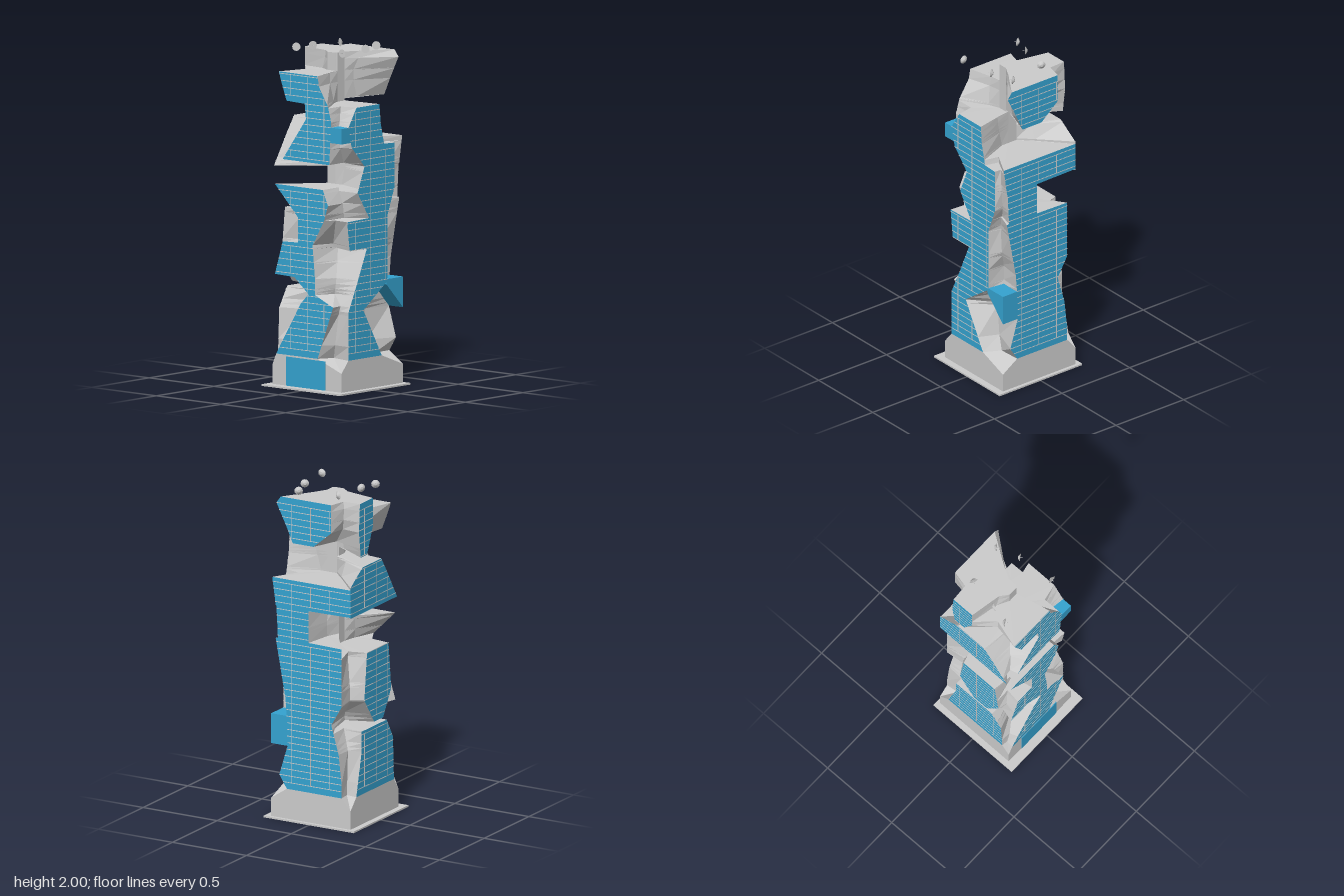
import * as THREE from 'three';

const GREY = new THREE.MeshStandardMaterial({ color: 0xcccccc, flatShading: true });
const GLASS = new THREE.MeshStandardMaterial({ color: 0x35a3d0, flatShading: true });
const BASE_TOP = 0.19, TOP = 1.95, FLOOR = 0.04, STEP = 0.004;
const CORE = { half: 0.03, depth: 0.04 };

// Each facade is a stack of glass blocks; a block row is [height, start, end]
const frontBlocks = [
  [[.19, -.24, .08], [.5, -.05, .2], [.56, .01, .06], [.65, -.1, .06]],
  [[.654, -.25, .06], [.85, -.19, .04]],
  [[.854, -.07, .045], [1, -.07, .13], [1.09, -.16, .16], [1.18, -.25, .12]],
  [[1.33, -.19, .17], [1.58, -.01, .185], [1.67, -.02, .16]],
  [[1.674, -.16, .158], [1.78, -.2, .09], [1.84, -.22, .08]],
];
const leftBlocks = [
  [[.19, .19, -.1], [.47, .19, .06], [.62, .12, -.15], [.826, .03, -.15]],
  [[.83, .18, -.15], [1, .2, -.15]],
  [[1.004, .01, -.15], [1.16, .11, -.21], [1.31, .05, -.21], [1.42, .15, -.21]],
  [[1.424, .16, -.12], [1.55, .19, -.09], [1.66, .12, -.08]],
];
const backBlocks = [
  [[.19, .16, -.21], [.27, .21, -.21], [.45, .155, -.19], [.62, .16, -.14], [.74, .17, -.21], [1.09, .235, -.21]],
  [[1.094, .22, .014], [1.286, .23, .014]],
  [[1.29, .235, -.27], [1.455, .258, -.27]],
  [[1.68, .12, -.02], [1.78, .165, -.14], [1.91, .23, -.14], [1.95, .2, -.14]],
];
const rightBlocks = [
  [[.19, -.22, .2], [.45, -.16, .19], [.57, -.16, .12]],
  [[.594, -.02, .08], [.75, -.13, .17], [1.03, -.1, .14]],
  [[1.284, -.285, .235], [1.47, -.285, .12], [1.56, -.15, .06]],
  [[1.624, -.17, -.1], [1.78, -.19, -.035], [1.95, -.18, -.035]],
];

// Turns blocks into rows: a full-width base, the blocks, and a thin core in the gaps
function makeFacade(name, depth, from, to, place, blocks) {
  const rows = [0, 0.12].map((y) => ({ y, start: from, end: to, d: depth }));
  const side = Math.sign(to - from) * CORE.half;
  const addCore = (low, high) => [low + STEP, high]
    .forEach((y) => rows.push({ y, start: -side, end: side, d: CORE.depth }));
  blocks.forEach((block, i) => {
    if (i > 0) {
      const below = blocks[i - 1].at(-1)[0];
      if (block[0][0] - below > 2 * STEP) addCore(below, block[0][0] - STEP);
    }
    block.forEach(([y, start, end]) => rows.push({ y, start, end, d: depth }));
  });
  if (rows.at(-1).y < TOP) addCore(rows.at(-1).y, TOP);
  return { name, depth, place, rows };
}

const facades = [
  makeFacade('front', 0.25, -0.27, 0.265, (u, d) => [u, d], frontBlocks),
  makeFacade('left', 0.265, 0.25, -0.285, (u, d) => [d, u], leftBlocks),
  makeFacade('back', 0.285, 0.265, -0.27, (u, d) => [u, -d], backBlocks),
  makeFacade('right', 0.27, -0.285, 0.25, (u, d) => [-d, u], rightBlocks),
];

// Interpolated facade edges and depth at a height
function sample({ rows, depth }, y) {
  let i = 0;
  while (i < rows.length - 2 && y > rows[i + 1].y) i++;
  const a = rows[i], b = rows[i + 1];
  const t = THREE.MathUtils.clamp((y - a.y) / (b.y - a.y), 0, 1);
  const mix = (key) => THREE.MathUtils.lerp(a[key], b[key], t);
  return { start: mix('start'), end: mix('end'), full: mix('d') > depth - 1e-6, d: mix('d') };
}

// One cross-section: two points per facade, then one carved corner point
function section(y) {
  const spans = facades.map((f) => sample(f, y));
  const edges = facades.map((f, i) => [f.place(spans[i].start, spans[i].d), f.place(spans[i].end, spans[i].d)]);
  const ring = [];
  edges.forEach(([p, q], i) => {
    const next = edges[(i + 1) % 4][0];
    const gap = Math.hypot(q[0] - next[0], q[1] - next[1]);
    const pull = 1 - (0.36 + 0.12 * Math.sin(y * 17 + i * 2)) * Math.min(1, gap / 0.25);
    ring.push(p, q, [(q[0] + next[0]) / 2 * pull, (q[1] + next[1]) / 2 * pull]);
  });
  return { y, spans, points: ring.map(([x, z]) => new THREE.Vector3(x, y, z)) };
}

function named(geometry, material, name) {
  const mesh = new THREE.Mesh(geometry, material);
  mesh.name = name;
  return mesh;
}

function facetMesh(points, material, name) {
  const geometry = new THREE.BufferGeometry().setFromPoints(points);
  geometry.computeVertexNormals();
  return named(geometry, material, name);
}

function buildTower() {
  const heights = [...new Set(facades.flatMap((f) => f.rows.map((r) => +r.y.toFixed(4))))].sort((a, b) => a - b);
  const sections = heights.map(section);
  const rock = [], glass = [];
  const add = (list, a, b, c) => {
    if (new THREE.Triangle(a, b, c).getArea() > 1e-9) list.push(a, b, c);
  };
  for (let k = 0; k < sections.length - 1; k++) {
    const lo = sections[k], hi = sections[k + 1];
    for (let i = 0; i < 12; i++) {
      const j = (i + 1) % 12, f = Math.floor(i / 3);
      const isGlass = i % 3 === 0 && lo.y >= BASE_TOP && lo.spans[f].full && hi.spans[f].full;
      const list = isGlass ? glass : rock;
      add(list, lo.points[i], lo.points[j], hi.points[j]);
      add(list, lo.points[i], hi.points[j], hi.points[i]);
    }
  }
  // Flat roof closing the last section
  const top = sections.at(-1);
  const centre = new THREE.Vector3(0, top.y, 0);
  top.points.forEach((p, i) => add(rock, centre, p, top.points[(i + 1) % 12]));

  const tower = new THREE.Group();
  tower.name = 'tower';
  tower.add(facetMesh(rock, GREY, 'carvedStone'), facetMesh(glass, GLASS, 'glassFacades'));
  return tower;
}

function box(w, h, d, x, y, z, material, name) {
  const mesh = named(new THREE.BoxGeometry(w, h, d), material, name);
  mesh.position.set(x, y, z);
  return mesh;
}

// Corner bay with a sloping underside
function buildCornerBay() {
  const outline = [[.285, .45], [.285, .63], [.14, .63], [.14, .6]].map(([x, y]) => new THREE.Vector2(x, y));
  const geometry = new THREE.ExtrudeGeometry(new THREE.Shape(outline), { depth: 0.11, bevelEnabled: false });
  geometry.rotateY(Math.PI / 2).translate(0.155, 0, 0);
  return named(geometry, GLASS, 'cornerBay');
}

// Thin floor bands and uprights over the glass of one facade
function buildMullions(facade) {
  const group = new THREE.Group();
  group.name = facade.name + 'Mullions';
  const alongX = facade.place(1, 0)[0] === 1;
  const bar = (u, y, length, height) => {
    const [x, z] = facade.place(u, facade.depth);
    group.add(box(alongX ? length : 0.003, height, alongX ? 0.003 : length, x, y, z, GREY, 'mullion'));
  };
  const range = (s) => [Math.min(s.start, s.end), Math.max(s.start, s.end)];
  for (let y = BASE_TOP + FLOOR; y < TOP; y += FLOOR) {
    const here = sample(facade, y), above = sample(facade, y + FLOOR);
    if (!here.full) continue;
    const [low, high] = range(here), [lowAbove, highAbove] = range(above);
    bar((low + high) / 2, y, high - low, 0.004);
    if (!above.full || y + FLOOR > TOP) continue;
    for (const u of [-0.13, 0, 0.13]) {
      if (u > Math.max(low, lowAbove) && u < Math.min(high, highAbove)) bar(u, y + FLOOR / 2, 0.004, FLOOR);
    }
  }
  return group;
}

// Small upright dish with a rod along its axis
function buildDish(x, z, angle) {
  const dish = new THREE.Group();
  dish.name = 'dish';
  const bowl = named(new THREE.CylinderGeometry(0.025, 0.008, 0.012, 12), GREY, 'dishBowl');
  const rod = named(new THREE.CylinderGeometry(0.0015, 0.0015, 0.03, 6), GREY, 'dishRod');
  rod.position.y = 0.008;
  dish.add(bowl, rod);
  dish.position.set(x, 1.975, z);
  dish.rotation.set(Math.PI / 2, 0, -angle);
  return dish;
}

export function createModel() {
  const model = new THREE.Group();
  model.name = 'carvedTower';
  model.add(box(0.61, 0.01, 0.61, 0, 0.005, 0, GREY, 'baseSlab'));
  model.add(buildTower());
  model.add(box(0.3, 0.17, 0.006, -0.01, 0.095, 0.25, GLASS, 'entrance'));
  model.add(box(0.115, 0.09, 0.1, 0.2075, 1.505, 0.2, GLASS, 'upperCornerBay'));
  model.add(buildCornerBay());
  facades.forEach((f) => model.add(buildMullions(f)));
  // Dishes by x, z and heading
  [[-.112, -.17, -.46], [.125, -.21, .6], [.17, -.067, .56], [-.157, .027, 1], [-.185, .135, .56], [.195, .16, 0]]
    .forEach((d) => model.add(buildDish(...d)));
  return model;
}
